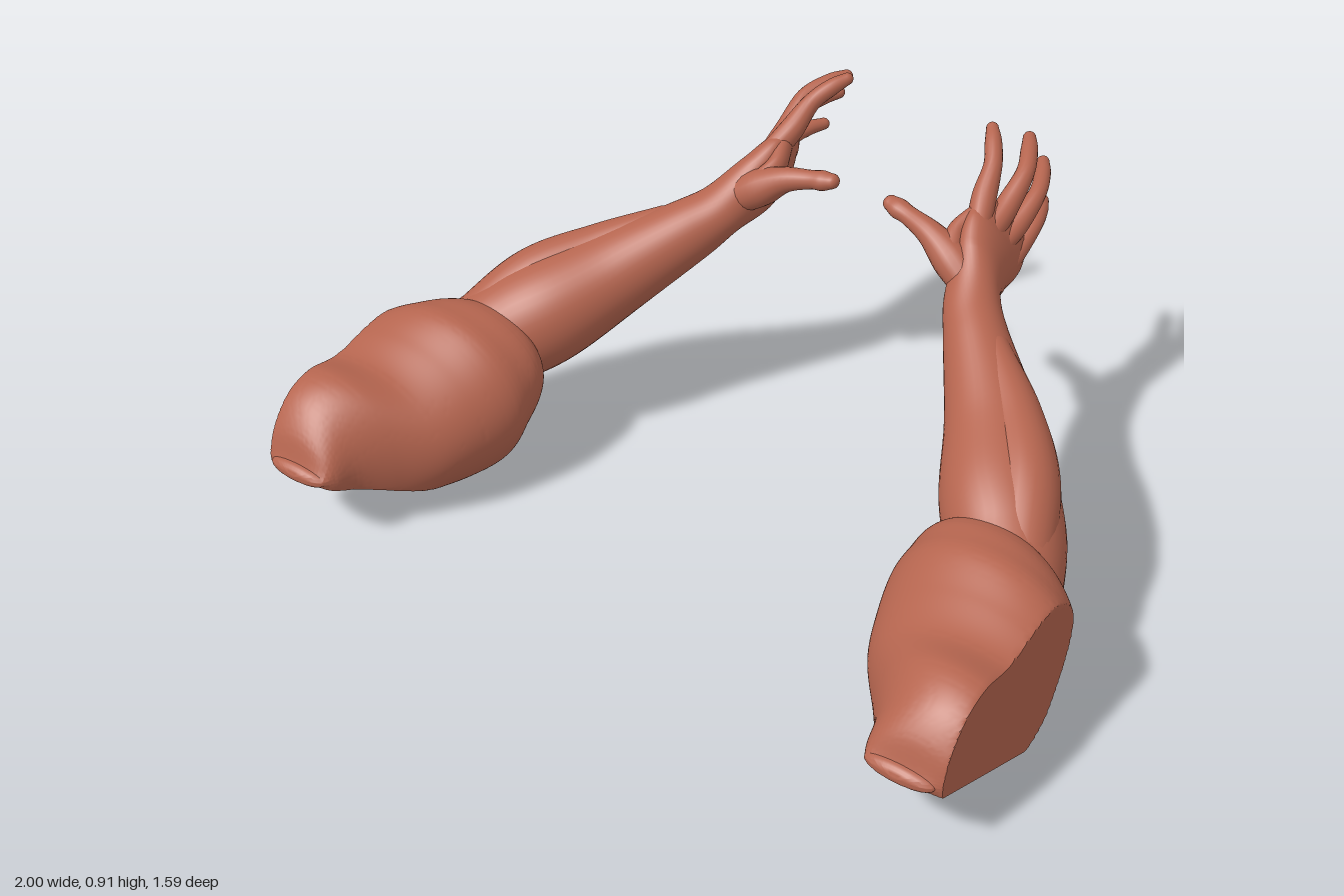
import * as THREE from 'three';
import { toCreasedNormals } from 'three/addons/utils/BufferGeometryUtils.js';

const UP = new THREE.Vector3(0, 1, 0);
const BACK = new THREE.Vector3(0, 0, -1);

// Smooth tube through sections [x, y, z, halfWidth, halfHeight, roll], with round ends.
// Sections face along the path, or along a fixed direction when one is given.
function loft(sections, side, steps, segs, facing) {
  const path = new THREE.CatmullRomCurve3(
    sections.map(s => new THREE.Vector3(s[0], s[1], s[2])), false, 'catmullrom', 0.5);
  const size = new THREE.CatmullRomCurve3(
    sections.map(s => new THREE.Vector3(s[3], s[4], s[5] || 0)), false, 'catmullrom', 0.5);
  const pos = [], index = [];
  let rings = 0;
  const ring = (t, scale, push) => {
    const c = path.getPoint(t), r = size.getPoint(t), d = facing || path.getTangent(t);
    const u = d.clone().cross(UP).normalize(), v = u.clone().cross(d);
    c.addScaledVector(d, push * Math.min(r.x, r.y));
    for (let j = 0; j < segs; j++) {
      const a = (j / segs) * Math.PI * 2;
      const p = r.x * Math.cos(a) * scale, q = r.y * Math.sin(a) * scale;
      const cr = Math.cos(r.z), sr = Math.sin(r.z);
      const w = c.clone().addScaledVector(u, p * cr - q * sr).addScaledVector(v, p * sr + q * cr);
      pos.push(w.x * side, w.y, w.z);
    }
    rings++;
  };
  const CAP = 6;
  for (let k = CAP; k > 0; k--) {
    const a = (k / CAP) * Math.PI / 2;
    ring(0, Math.cos(a), -Math.sin(a));
  }
  for (let i = 0; i <= steps; i++) ring(i / steps, 1, 0);
  for (let k = 1; k <= CAP; k++) {
    const a = (k / CAP) * Math.PI / 2;
    ring(1, Math.cos(a), Math.sin(a));
  }
  for (let i = 0; i < rings - 1; i++) {
    for (let j = 0; j < segs; j++) {
      const a = i * segs + j, a1 = i * segs + (j + 1) % segs, b = a + segs, b1 = a1 + segs;
      if (side > 0) index.push(a, b, a1, b, b1, a1);
      else index.push(a, a1, b, b, a1, b1);
    }
  }
  const g = new THREE.BufferGeometry();
  g.setAttribute('position', new THREE.Float32BufferAttribute(pos, 3));
  g.setIndex(index);
  g.computeVertexNormals();
  return g;
}

// Flat cuts: outer side at x = 1 and a slanted plane underneath.
function cutShoulder(g, side) {
  const p = g.attributes.position;
  for (let i = 0; i < p.count; i++) {
    const x = Math.min(p.getX(i) * side, 1), z = p.getZ(i);
    p.setXYZ(i, x * side, Math.max(p.getY(i), 0, 0.44 * (z - 0.33)), z);
  }
  return toCreasedNormals(g, 0.6);
}

const UPPER_ARM = [
  [0.895, 0.215, 0.77, 0.09, 0.025], [0.92, 0.205, 0.74, 0.13, 0.105],
  [0.935, 0.2, 0.68, 0.165, 0.172], [0.925, 0.19, 0.6, 0.21, 0.212],
  [0.90, 0.197, 0.5, 0.265, 0.193], [0.87, 0.21, 0.4, 0.28, 0.212],
  [0.83, 0.232, 0.31, 0.266, 0.225], [0.805, 0.26, 0.25, 0.238, 0.197],
  [0.782, 0.285, 0.2, 0.208, 0.165], [0.768, 0.3, 0.165, 0.17, 0.13],
  [0.768, 0.31, 0.14, 0.115, 0.06],
];

// Forearm running on through the wrist into the palm
const FOREARM = [
  [0.84, 0.28, 0.22, 0.12, 0.12], [0.765, 0.325, 0.11, 0.14, 0.14],
  [0.685, 0.38, 0.02, 0.143, 0.142], [0.575, 0.46, -0.125, 0.118, 0.115],
  [0.435, 0.567, -0.27, 0.082, 0.084], [0.375, 0.622, -0.345, 0.07, 0.07, 0.1],
  [0.345, 0.655, -0.43, 0.062, 0.103, 0.3], [0.335, 0.682, -0.5, 0.052, 0.122, 0.35],
  [0.337, 0.705, -0.555, 0.036, 0.1, 0.4],
];

// Muscle along the top of the forearm, and the bony point of the elbow
const OUTER_MUSCLE = [
  [0.83, 0.34, 0.17, 0.08, 0.08], [0.745, 0.435, 0.01, 0.085, 0.09],
  [0.63, 0.5, -0.125, 0.072, 0.074], [0.5, 0.575, -0.24, 0.045, 0.048],
];
const ELBOW = [
  [0.84, 0.26, 0.18, 0.09, 0.09], [0.8, 0.258, 0.08, 0.085, 0.085],
  [0.765, 0.272, 0.03, 0.078, 0.078], [0.69, 0.345, -0.05, 0.06, 0.06],
];

const DIGITS = {
  thumb: [
    [0.36, 0.645, -0.36, 0.045, 0.045], [0.29, 0.69, -0.378, 0.05, 0.05],
    [0.22, 0.733, -0.388, 0.034, 0.034], [0.15, 0.752, -0.4, 0.025, 0.025],
    [0.115, 0.758, -0.406, 0.028, 0.026], [0.09, 0.763, -0.41, 0.022, 0.02],
  ],
  indexFinger: [
    [0.315, 0.745, -0.46, 0.03, 0.035], [0.292, 0.795, -0.52, 0.032, 0.032],
    [0.275, 0.85, -0.585, 0.024, 0.024], [0.245, 0.883, -0.635, 0.022, 0.022],
    [0.22, 0.9, -0.67, 0.016, 0.016],
  ],
  middleFinger: [
    [0.335, 0.72, -0.48, 0.03, 0.035], [0.335, 0.763, -0.56, 0.031, 0.031],
    [0.335, 0.82, -0.645, 0.024, 0.024], [0.305, 0.843, -0.715, 0.022, 0.022],
    [0.28, 0.85, -0.758, 0.017, 0.017],
  ],
  ringFinger: [
    [0.35, 0.68, -0.49, 0.03, 0.03], [0.36, 0.71, -0.57, 0.03, 0.03],
    [0.365, 0.76, -0.66, 0.023, 0.023], [0.34, 0.777, -0.73, 0.021, 0.021],
    [0.315, 0.782, -0.775, 0.017, 0.017],
  ],
  littleFinger: [
    [0.365, 0.61, -0.47, 0.03, 0.03], [0.37, 0.64, -0.55, 0.029, 0.029],
    [0.375, 0.682, -0.635, 0.022, 0.022], [0.36, 0.692, -0.695, 0.02, 0.02],
    [0.34, 0.692, -0.742, 0.016, 0.016],
  ],
  thumbWeb: [
    [0.285, 0.705, -0.385, 0.03, 0.04], [0.275, 0.735, -0.43, 0.026, 0.034],
    [0.295, 0.765, -0.49, 0.024, 0.03],
  ],
};

export function createModel() {
  const skin = new THREE.MeshStandardMaterial({ color: 0xb5654f });
  skin.name = 'skin';
  const model = new THREE.Group();
  model.name = 'pairOfArms';

  for (const side of [1, -1]) {
    const arm = new THREE.Group();
    arm.name = side > 0 ? 'leftArm' : 'rightArm';
    const add = (name, geometry) => {
      const mesh = new THREE.Mesh(geometry, skin);
      mesh.name = name;
      arm.add(mesh);
      return mesh;
    };

    add('upperArm', cutShoulder(loft(UPPER_ARM, side, 110, 128, BACK), side));
    add('forearmAndPalm', loft(FOREARM, side, 64, 40));
    add('forearmMuscle', loft(OUTER_MUSCLE, side, 36, 28));
    add('elbow', loft(ELBOW, side, 28, 28));
    for (const [name, sections] of Object.entries(DIGITS)) {
      add(name, loft(sections, side, 24, 18));
    }
    const wristBone = add('wristBone', new THREE.SphereGeometry(1, 28, 18));
    wristBone.scale.set(0.032, 0.035, 0.04);
    wristBone.position.set(0.425 * side, 0.605, -0.34);
    model.add(arm);
  }
  return model;
}
